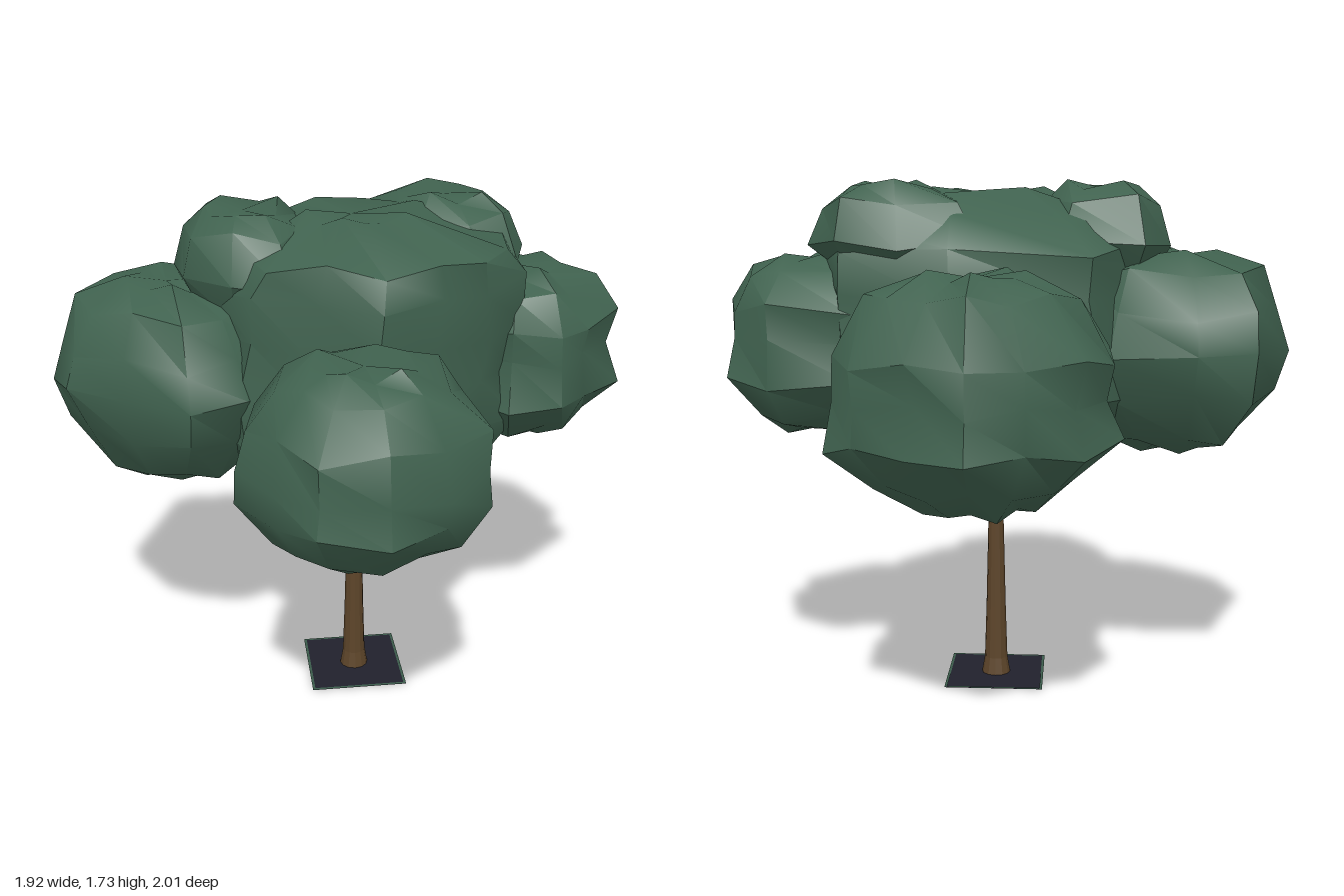
import * as THREE from 'three';
import { toCreasedNormals } from 'three/addons/utils/BufferGeometryUtils.js';

const mat = (name, color, extra = {}) => {
  const m = new THREE.MeshStandardMaterial({ color, ...extra });
  m.name = name;
  return m;
};

// Leaf clump: a plan outline of [x, z] points around a centre, scaled and
// shifted at each height of a top-to-bottom profile of [y, scale, dx, dz],
// with slight bumps.
function clumpGeometry([cx, cz], outline, profile, seed) {
  const plan = outline
    .map(([x, z]) => [x - cx, z - cz])
    .sort((a, b) => Math.atan2(-a[1], a[0]) - Math.atan2(-b[1], b[0]));
  const n = plan.length, rows = profile.length;
  const pos = [], index = [];
  profile.forEach(([y, s, dx = 0, dz = 0], i) => {
    plan.forEach(([x, z], j) => {
      const bump = s * (1 + 0.035 * Math.sin(seed * 3.1 + i * 2.3 + j * 1.9));
      const lift = 0.018 * Math.sin(seed * 1.7 + i * 1.3 + j * 2.6);
      pos.push(cx + dx + x * bump, y + lift, cz + dz + z * bump);
    });
  });
  // Pole points, dimpled at the top
  pos.push(cx, profile[0][0] - 0.01, cz, cx, profile[rows - 1][0] - 0.005, cz);
  const top = rows * n, bottom = top + 1;
  for (let j = 0; j < n; j++) {
    const k = (j + 1) % n;
    index.push(top, j, k, bottom, (rows - 1) * n + k, (rows - 1) * n + j);
    for (let i = 0; i < rows - 1; i++) {
      const a = i * n + j, b = a + n, c = (i + 1) * n + k, d = i * n + k;
      index.push(a, b, c, a, c, d);
    }
  }
  const g = new THREE.BufferGeometry();
  g.setAttribute('position', new THREE.Float32BufferAttribute(pos, 3));
  g.setIndex(index);
  return toCreasedNormals(g, 0.7);
}

export function createModel() {
  const tree = new THREE.Group();
  tree.name = 'tree';
  const leaf = mat('leaf green', 0x40624f);
  const bark = mat('bark brown', 0x5c4429, { flatShading: true });
  const twig = mat('branch brown', 0x65401f);
  const soil = mat('dark soil', 0x20202c, { side: THREE.DoubleSide });
  const rim = mat('bed rim green', 0x3a5a4a);

  const add = (name, geometry, material) => {
    const mesh = new THREE.Mesh(geometry, material);
    mesh.name = name;
    tree.add(mesh);
    return mesh;
  };
  const addClump = (name, seed, centre, outline, profile) =>
    add(name, clumpGeometry(centre, outline, profile, seed), leaf);

  // Main body of the crown, leaning to its left at the top
  addClump('crownCentre', 1, [0.02, 0],
    [[0, 0.52], [0.2, 0.45], [0.38, 0.35], [0.53, 0.18], [0.56, -0.15], [0.48, -0.4], [0.1, -0.49],
      [-0.35, -0.47], [-0.5, -0.2], [-0.5, 0.15], [-0.4, 0.36], [-0.2, 0.42]],
    [[1.69, 0.35, 0.03], [1.6, 0.83, 0.06, 0.04], [1.5, 0.95, 0.05], [1.35, 0.95, 0.04], [1.2, 0.95, 0.02],
      [1.04, 0.97, 0.02], [0.88, 0.78, 0.03, 0.02], [0.72, 0.42, 0.04, 0.04]]);

  // Four large clumps around it
  addClump('crownFront', 2, [-0.03, 0.66],
    [[-0.35, 0.45], [-0.41, 0.7], [-0.31, 0.83], [-0.2, 0.97], [0, 1], [0.18, 0.92],
      [0.33, 0.8], [0.32, 0.47], [0.1, 0.33], [-0.2, 0.33]],
    [[1.41, 0.4], [1.36, 0.66], [1.24, 0.93], [1.1, 0.97], [1, 0.99], [0.88, 0.74], [0.81, 0.35]]);
  addClump('crownBack', 3, [0.05, -0.6],
    [[-0.12, -0.94], [0.05, -1], [0.22, -0.92], [0.4, -0.83], [0.48, -0.75], [0.49, -0.5], [0.4, -0.35],
      [0.2, -0.25], [-0.2, -0.25], [-0.35, -0.42], [-0.38, -0.64], [-0.28, -0.83]],
    [[1.44, 0.36], [1.38, 0.7], [1.2, 0.96], [1.08, 0.92], [0.95, 0.99], [0.83, 0.7], [0.75, 0.42]]);
  addClump('crownRight', 4, [-0.58, 0],
    [[-0.96, 0], [-0.9, 0.18], [-0.72, 0.3], [-0.52, 0.42], [-0.35, 0.36], [-0.2, 0.2], [-0.2, -0.2],
      [-0.35, -0.38], [-0.62, -0.42], [-0.82, -0.38]],
    [[1.49, 0.35], [1.43, 0.74], [1.3, 0.92], [1.18, 0.99], [1.04, 0.88], [0.89, 0.6], [0.84, 0.3]]);
  addClump('crownLeft', 5, [0.6, -0.08],
    [[0.95, 0], [0.87, -0.33], [0.73, -0.42], [0.45, -0.4], [0.3, -0.2], [0.3, 0.1], [0.5, 0.27],
      [0.68, 0.27], [0.78, 0.2]],
    [[1.48, 0.4], [1.43, 0.72], [1.32, 0.94], [1.22, 0.9], [1.08, 0.99], [0.96, 0.7], [0.91, 0.4]]);

  // Two small clumps on top
  addClump('crownTopRight', 6, [-0.33, 0],
    [[-0.56, -0.08], [-0.46, -0.27], [-0.2, -0.31], [-0.1, -0.12], [-0.12, 0.16], [-0.2, 0.3],
      [-0.38, 0.27], [-0.53, 0.14]],
    [[1.71, 0.5], [1.66, 0.8], [1.52, 1], [1.41, 0.75]]);
  addClump('crownTopLeft', 7, [0.35, -0.17],
    [[0.07, -0.38], [0.1, -0.1], [0.22, 0.05], [0.4, 0.11], [0.56, 0.04], [0.63, -0.17], [0.51, -0.4], [0.3, -0.45]],
    [[1.71, 0.5], [1.65, 0.82], [1.52, 0.99], [1.43, 0.7]]);

  // Trunk with a flared foot
  const profile = [[0.05, 0.002], [0.04, 0.06], [0.034, 0.25], [0.027, 0.55], [0.022, 0.85]]
    .map(([r, y]) => new THREE.Vector2(r, y));
  add('trunk', new THREE.LatheGeometry(profile, 12), bark).position.set(0.03, 0, 0.015);

  // Branches reaching into the crown
  const branches = [
    [[0.03, 0.57, 0.02], [0.02, 0.75, 0.24]],
    [[0.03, 0.63, 0], [0.04, 0.77, -0.2]],
    [[0.03, 0.63, 0.015], [-0.12, 0.78, 0.03]],
    [[0.03, 0.62, 0.015], [0.19, 0.78, 0]],
  ];
  for (const [a, b] of branches) {
    const path = new THREE.LineCurve3(new THREE.Vector3(...a), new THREE.Vector3(...b));
    add('branch', new THREE.TubeGeometry(path, 1, 0.01, 6), twig);
  }

  // Flat square planting bed with a thin rim
  const square = (s) => [[-s, -s], [s, -s], [s, s], [-s, s]].map(([x, y]) => new THREE.Vector2(x, y));
  const frame = new THREE.Shape(square(0.169));
  frame.holes.push(new THREE.Path(square(0.16)));
  const bed = add('plantingBed', new THREE.PlaneGeometry(0.338, 0.338).rotateX(-Math.PI / 2), soil);
  bed.position.set(0.03, 0, 0.015);
  const edge = add('bedRim', new THREE.ShapeGeometry(frame).rotateX(-Math.PI / 2), rim);
  edge.position.set(0.03, 0.002, 0.015);

  return tree;
}
